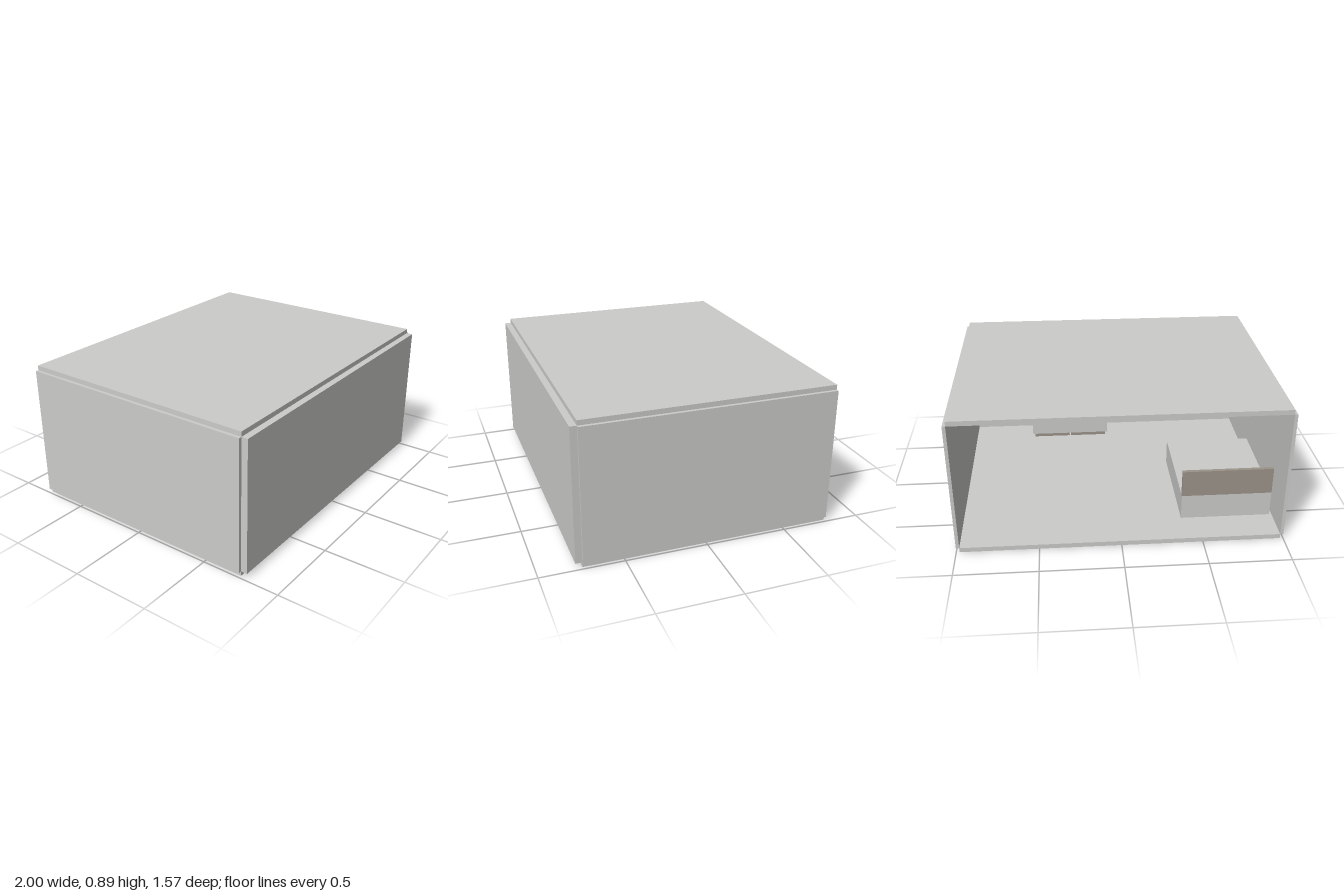
import * as THREE from 'three';

export function createModel() {
  const model = new THREE.Group();
  model.name = 'openRoom';
  const shellGrey = new THREE.MeshStandardMaterial({ name: 'shellGrey', color: 0xccccca });
  const woodTaupe = new THREE.MeshStandardMaterial({ name: 'woodTaupe', color: 0x9b9389 });

  // Box given by its extents along each axis
  function box(name, material, [x0, x1], [y0, y1], [z0, z1], parent = model) {
    const mesh = new THREE.Mesh(new THREE.BoxGeometry(x1 - x0, y1 - y0, z1 - z0), material);
    mesh.position.set((x0 + x1) / 2, (y0 + y1) / 2, (z0 + z1) / 2);
    mesh.name = name;
    parent.add(mesh);
  }

  // Room shell, open at the back
  const inner = [-0.98, 0.98], wallY = [0.03, 0.86], depth = [-0.785, 0.745];
  box('floor', shellGrey, inner, [0, 0.03], depth);
  box('roof', shellGrey, inner, [0.86, 0.89], depth);
  box('frontWall', shellGrey, inner, wallY, [0.745, 0.785]);
  box('leftWall', shellGrey, [0.98, 1], wallY, depth);
  box('rightWall', shellGrey, [-1, -0.98], wallY, depth);

  // Bed with a headboard towards the open side
  const bed = new THREE.Group();
  bed.name = 'bed';
  model.add(bed);
  box('mattress', shellGrey, [-0.965, -0.395], [0.03, 0.195], [-0.57, 0.13], bed);
  box('headboard', woodTaupe, [-0.965, -0.395], [0.195, 0.37], [-0.57, -0.547], bed);

  // Low cabinet against the front wall, two bays on a recessed base
  const cabinet = new THREE.Group();
  cabinet.name = 'cabinet';
  model.add(cabinet);
  box('cabinetBody', shellGrey, [0, 0.56], [0.06, 0.3], [0.55, 0.745], cabinet);
  for (const x of [0.015, 0.285]) {
    box('cabinetBase', woodTaupe, [x, x + 0.26], [0.03, 0.06], [0.565, 0.745], cabinet);
  }
  return model;
}
